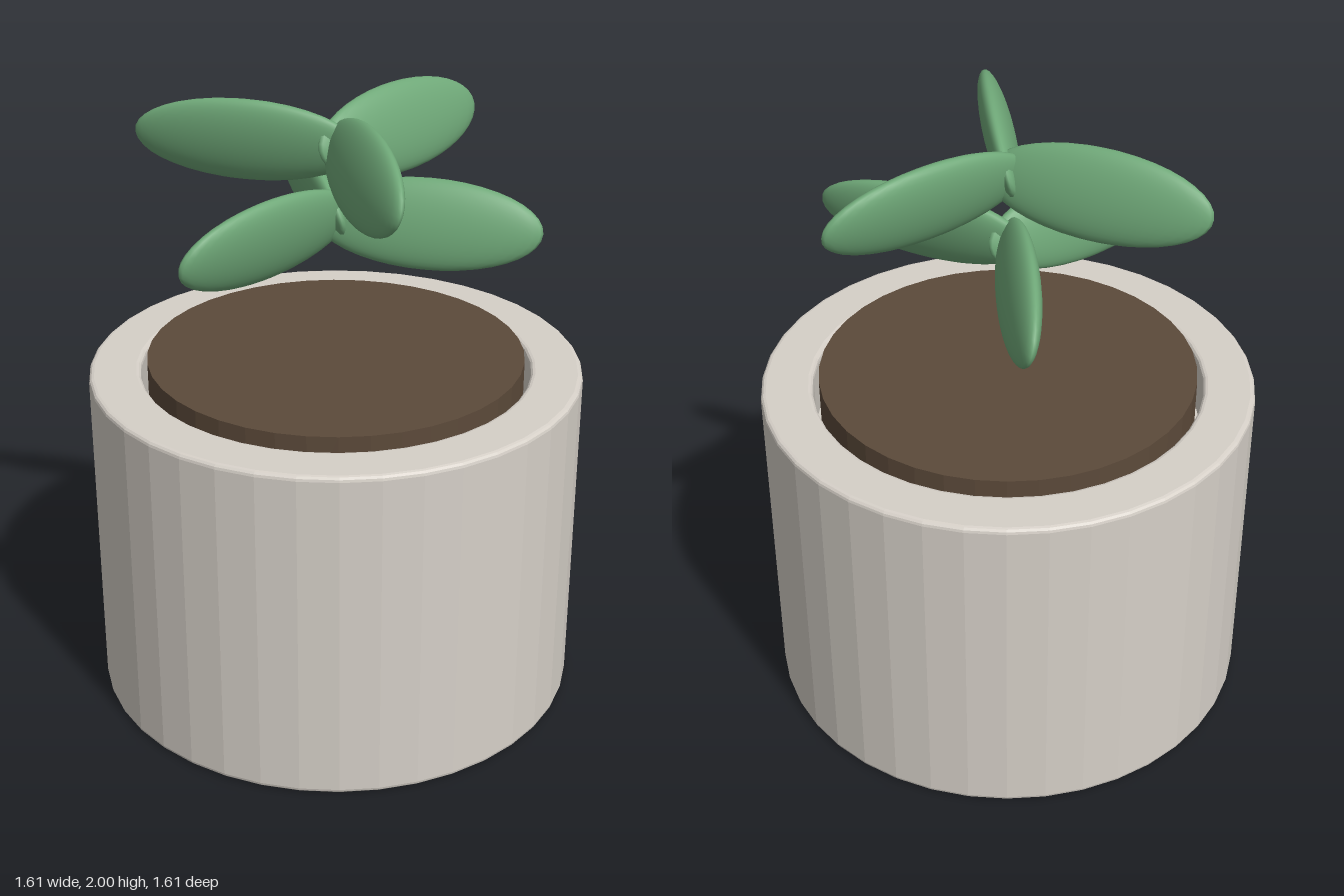
import * as THREE from 'three';

const SIDES = 40;

const material = (color, flatShading = false) =>
  new THREE.MeshStandardMaterial({ color, flatShading });

// Thick-walled pot with small rounded edges
function createPot() {
  const R = 0.803, inner = 0.635, top = 1.13, round = 0.016, floor = 0.95;
  const profile = [new THREE.Vector2(0, 0)];
  const corner = (cx, cy, r, from) => {
    for (let i = 0; i <= 3; i++) {
      const a = from + (i / 3) * Math.PI / 2;
      profile.push(new THREE.Vector2(cx + r * Math.cos(a), cy + r * Math.sin(a)));
    }
  };
  corner(R - round, round, round, -Math.PI / 2);
  corner(R - round, top - round, round, 0);
  corner(inner + round, top - round, round, Math.PI / 2);
  profile.push(new THREE.Vector2(inner, floor), new THREE.Vector2(0, floor));
  const pot = new THREE.Mesh(new THREE.LatheGeometry(profile, SIDES), material(0xd6d0c8, true));
  pot.name = 'pot';
  return pot;
}

// Soil disc standing slightly above the rim
function createSoil() {
  const bottom = 0.95, top = 1.165;
  const soil = new THREE.Mesh(
    new THREE.CylinderGeometry(0.614, 0.614, top - bottom, SIDES),
    material(0x5c4a3a, true)
  );
  soil.position.y = (bottom + top) / 2;
  soil.name = 'soil';
  return soil;
}

// Three flattened leaves around the axis, each rolled about its own length
function createLeafTier(name, y, startAngle, geometry, leafMaterial) {
  const tier = new THREE.Group();
  tier.name = name;
  tier.position.y = y;
  for (let i = 0; i < 3; i++) {
    const arm = new THREE.Group();
    arm.name = 'leafArm';
    arm.rotation.y = startAngle + (i * Math.PI * 2) / 3;
    const leaf = new THREE.Mesh(geometry, leafMaterial);
    leaf.name = 'leaf';
    leaf.position.x = 0.292;
    leaf.rotation.x = -0.245;
    arm.add(leaf);
    tier.add(arm);
  }
  return tier;
}

export function createModel() {
  const model = new THREE.Group();
  model.name = 'pottedPlant';

  // Ellipsoid leaf: long in x, tall in y, thin in z
  const leafGeometry = new THREE.SphereGeometry(1, 32, 20);
  leafGeometry.scale(0.365, 0.144, 0.05);
  const leafMaterial = material(0x6fa878);

  model.add(
    createPot(),
    createSoil(),
    createLeafTier('lowerLeaves', 1.633, Math.PI, leafGeometry, leafMaterial),
    createLeafTier('upperLeaves', 1.86, 0, leafGeometry, leafMaterial)
  );
  return model;
}
